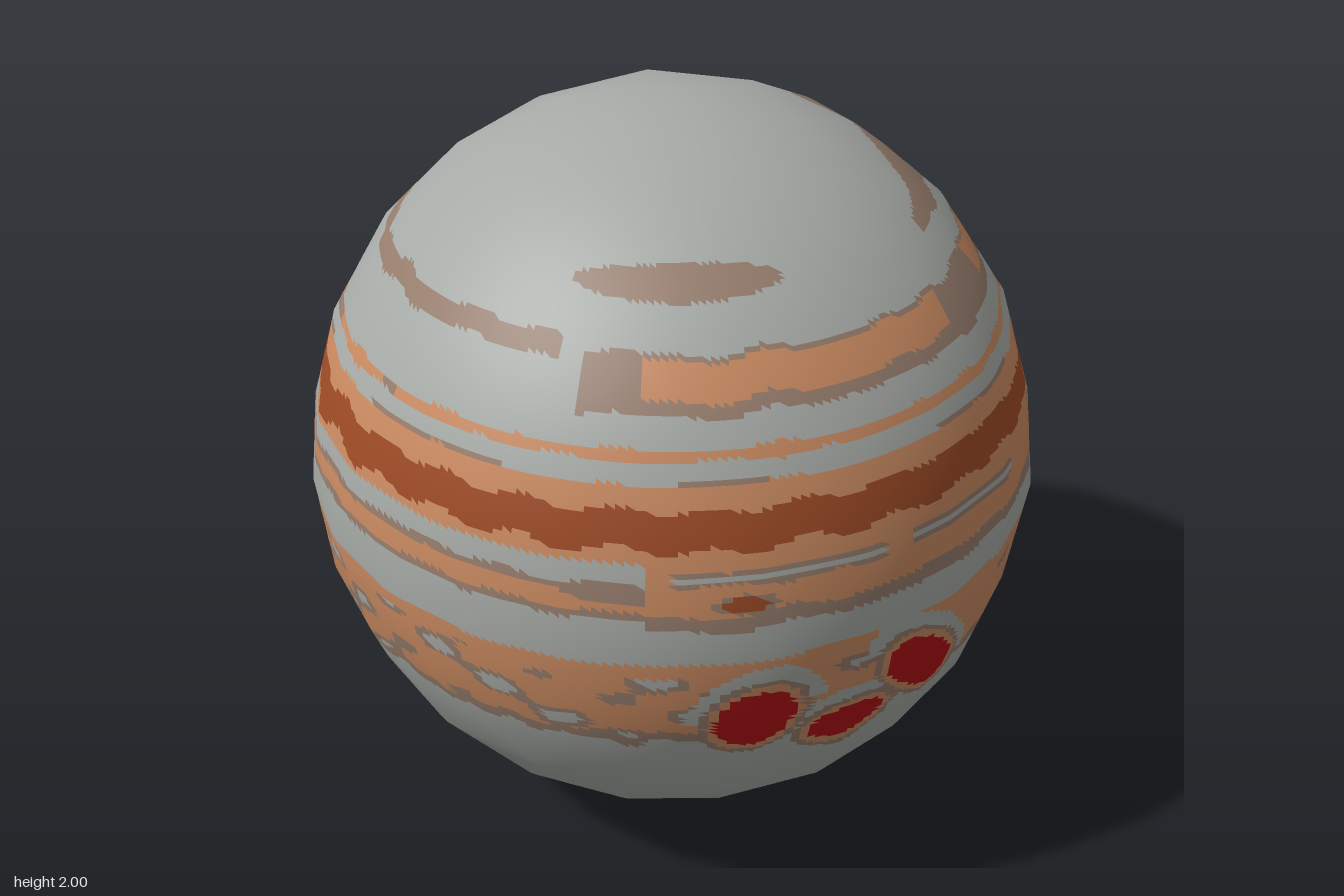
import * as THREE from 'three';

const RAD = Math.PI / 180;
const COLS = 240, ROWS = 230;

const palette = [
  ['greyCloud', 0xa6aaa6],
  ['taupeCloud', 0x957c6c],
  ['orangeCloud', 0xc88960],
  ['rustCloud', 0x9c4a25],
  ['redStorm', 0xb00f14],
];
const [GREY, TAUPE, ORANGE, RUST, RED] = [0, 1, 2, 3, 4];

// Piecewise-linear outlines: [longitude in degrees, height]
const southCap = [[0, .02], [18, .08], [47, .13], [60, .2], [70, .25], [81, .36], [90, .46], [103, .54], [125, .51],
  [140, .5], [158, .39], [181, .34], [200, .38], [209, .36], [218, .28], [229, .38], [245, .47], [260, .42],
  [276, .3], [300, .1], [340, .02], [360, .02]];
const northCrescent = [[25, 1.76], [40, 1.8], [60, 1.865], [85, 1.9], [110, 1.875], [130, 1.83], [145, 1.79], [174, 1.77]];

// Oval storms: longitude, height, half width, half height, tilt
const storms = [
  [-32, .75, .105, .09, .15],
  [-16, .66, .11, .055, .05],
  [-3, .77, .135, .085, -.45],
  [69, .66, .118, .085, 0],
  [127, .67, .108, .085, .2],
];

function along(table, x) {
  for (let i = 1; i < table.length; i++) {
    const [x0, y0] = table[i - 1], [x1, y1] = table[i];
    if (x <= x1) return y0 + (y1 - y0) * (x - x0) / (x1 - x0);
  }
  return table[table.length - 1][1];
}

// Wavy value between about -1 and 1 that closes around the globe
function swirl(lon, y, f, g, p) {
  const a = lon * RAD;
  return (Math.sin(a * f + g * y + p) + Math.sin(a * (f * 2 + 1) - g * 1.6 * y + p * 2.3)
    + Math.sin(a * (f + 5) + g * 2.3 * y + p * 4.1)) / 3;
}

const between = (v, lo, hi) => v > lo && v < hi;

function stormColour(lon, y) {
  let result = -1, best = 9;
  for (const [sLon, sy, w, h, tilt] of storms) {
    const d = ((lon - sLon + 540) % 360) - 180;
    if (Math.abs(d) > 25) continue;
    const u = d * RAD * Math.sqrt(1 - (sy - 1) ** 2), v = y - sy - tilt * u;
    const r = Math.hypot(u / w, v / h);
    const ring = Math.hypot(u / (w + .022), v / (h + .022));
    const rim = Math.hypot(u / (w + .042), v / (h + .038));
    const halo = Math.hypot(u / (w + .08), v / (h + .085));
    if (r < best && halo < 1) {
      const c = r < 1 ? RED : ring < 1 ? ORANGE : rim < 1 ? TAUPE : v > .02 ? GREY : -1;
      if (c >= 0) { best = r; result = c; }
    }
  }
  return result;
}

// Cloud colour at a longitude (0 = front, 90 = model's left) and height
function colourAt(lon, y) {
  const storm = stormColour(lon, y);
  if (storm >= 0) return storm;
  const ripple = swirl(lon, 0, 13, 0, 1);
  const west = lon > 180 ? lon - 360 : lon;

  // Polar patches
  if (y < along(southCap, lon) + .012 * ripple) return TAUPE;
  if (between(lon, 25, 174) && between(y, 1.725 + .015 * ripple + (lon > 145 ? .02 : 0), along(northCrescent, lon))) {
    return Math.hypot((lon - 79) / 11, (y - 1.775) / .018) < 1 ? ORANGE : TAUPE;
  }
  if (Math.hypot((west + 43) / 23, (y - 1.775) / .032) < 1) return TAUPE;

  // High northern belt, thin on the far side
  if (between(west, -60, 175)) {
    const lo = 1.54 + .012 * ripple, hi = 1.655 + .012 * ripple;
    const solid = between(west, -50, 14) || between(west, 34, 152);
    if (between(y, lo, hi)) return solid && between(y, lo + .03, hi - .01) ? ORANGE : TAUPE;
  } else if (between(lon, 185, 296) && Math.abs(y - 1.655 - .012 * ripple) < .022) return TAUPE;

  // Fine northern line
  if (Math.abs(y - 1.462) < .012 + .007 * ripple) return swirl(lon, 0, 5, 0, 2) > -.55 ? ORANGE : TAUPE;

  // Rust belt with its orange borders
  const wave = .012 * Math.sin(lon * RAD * 26) + .008 * ripple;
  if (between(y, 1.255 + wave, 1.345 + wave * .6)) return RUST;
  if (between(y, 1.3, 1.4 + .006 * ripple)) return ORANGE;
  if (between(y, 1.395, 1.408)) return swirl(lon, 0, 3, 0, 0) > .1 ? TAUPE : GREY;

  // Equatorial belt, narrowing and broken on the far side
  const far = between(lon, 158, 312);
  if (between(y, far ? 1.225 : 1.2, 1.3)) return ORANGE;
  if (between(y, 1.045, 1.21)) {
    if (far) {
      const c = Math.abs(y - 1.125 - .008 * ripple);
      return lon < 205 || c > .045 ? GREY : c > .025 || swirl(lon, y, 4, 9, 1) > .4 ? TAUPE : ORANGE;
    }
    if (between(west, -50, 152) && Math.abs(y - 1.185) < .02 + .008 * ripple && swirl(lon, 0, 4, 0, 3) > -.3) {
      return Math.abs(y - 1.185) < .008 ? GREY : TAUPE;
    }
    for (const [a, b, w] of [[119, 1.12, 7], [136, 1.095, 6], [-34, 1.115, 3.5]]) {
      const d = Math.hypot((west - a) / w, (y - b) / .019);
      if (d < 1) return RUST;
      if (d < 1.4) return TAUPE;
    }
    const low = 1.05 + .012 * ripple;
    return y < low ? GREY : y < low + .04 ? TAUPE : ORANGE;
  }

  // Broad southern belt, mottled, with a ragged lower edge
  const top = .955 + .012 * swirl(lon, 0, 4, 0, 2);
  const bottom = .675 + .022 * swirl(lon, 0, 23, 0, 1);
  if (between(y, bottom, top)) {
    if (y < bottom + .035) return TAUPE;
    const mottled = between(lon, 150, 330) ? .22 : .5;
    const blot = swirl(lon, y, 11, 24, 2);
    if (y < top - .04 && blot > mottled) return blot > mottled + .38 ? GREY : TAUPE;
    return ORANGE;
  }
  return GREY;
}

// Planes of a coarse icosphere, which give the globe its faceted outline
function facetPlanes() {
  const p = new THREE.IcosahedronGeometry(1, 3).getAttribute('position');
  const planes = [];
  for (let i = 0; i < p.count; i += 3) {
    const [a, b, c] = [0, 1, 2].map(k => new THREE.Vector3().fromBufferAttribute(p, i + k));
    planes.push(new THREE.Plane().setFromCoplanarPoints(a, b, c));
  }
  return planes;
}

export function createModel() {
  const group = new THREE.Group();
  group.name = 'stripedPlanet';
  const planes = facetPlanes();
  const positions = [], normals = [], indices = palette.map(() => []);
  const dir = new THREE.Vector3();

  // Fine grid laid on the facets, with round normals
  for (let j = 0; j <= ROWS; j++) {
    for (let i = 0; i <= COLS; i++) {
      dir.setFromSphericalCoords(1, Math.PI * j / ROWS, 2 * Math.PI * i / COLS);
      let r = 9;
      for (const { normal, constant } of planes) {
        const n = normal.dot(dir);
        if (n > .9) r = Math.min(r, -constant / n);
      }
      positions.push(dir.x * r * .978, 1 + dir.y * r, dir.z * r * .98);
      normals.push(dir.x, dir.y, dir.z);
    }
  }

  // Sort each triangle into its cloud colour
  const addTriangle = (a, b, c, row, col) => {
    const y = 1 + Math.cos(Math.PI * row / ROWS);
    indices[colourAt(360 * col / COLS, y)].push(a, b, c);
  };
  for (let j = 0; j < ROWS; j++) {
    for (let i = 0; i < COLS; i++) {
      const a = j * (COLS + 1) + i, b = a + COLS + 1;
      if (j < ROWS - 1) addTriangle(a, b, b + 1, j + 2 / 3, i + 1 / 3);
      if (j > 0) addTriangle(a, b + 1, a + 1, j + 1 / 3, i + 2 / 3);
    }
  }

  const position = new THREE.Float32BufferAttribute(positions, 3);
  const normal = new THREE.Float32BufferAttribute(normals, 3);
  palette.forEach(([name, color], k) => {
    const geometry = new THREE.BufferGeometry();
    geometry.setAttribute('position', position);
    geometry.setAttribute('normal', normal);
    geometry.setIndex(indices[k]);
    const material = new THREE.MeshStandardMaterial({ color });
    material.name = name;
    const mesh = new THREE.Mesh(geometry, material);
    mesh.name = name + 'Surface';
    group.add(mesh);
  });
  return group;
}
